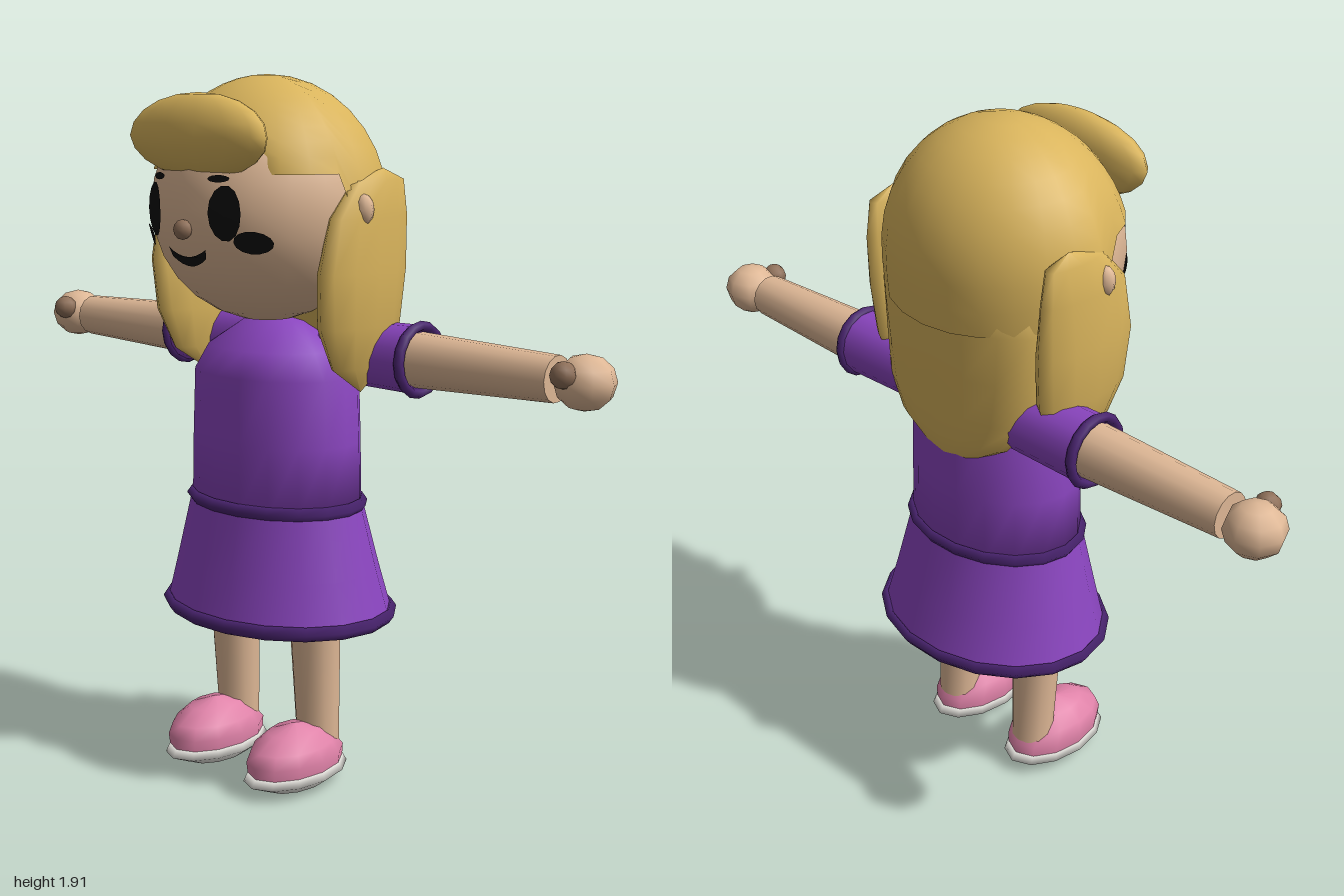
import * as THREE from 'three';
import { mergeVertices } from 'three/addons/utils/BufferGeometryUtils.js';

const mat = (name, color, side = THREE.FrontSide) => {
  const m = new THREE.MeshStandardMaterial({ color, side });
  m.name = name;
  return m;
};

// Smooth skin over elliptical rings [y, cx, cz, rx, rz], listed bottom to top
function loft(rings, segs = 14) {
  const pos = [], idx = [];
  rings.forEach(([y, cx, cz, rx, rz]) => {
    for (let j = 0; j < segs; j++) {
      const a = (j / segs) * Math.PI * 2;
      pos.push(cx + Math.cos(a) * rx, y, cz + Math.sin(a) * rz);
    }
  });
  for (let i = 0; i < rings.length - 1; i++) {
    for (let j = 0; j < segs; j++) {
      const k = (j + 1) % segs;
      const a = i * segs + j, b = i * segs + k, c = a + segs, d = b + segs;
      idx.push(a, c, b, b, c, d);
    }
  }
  const g = new THREE.BufferGeometry();
  g.setAttribute('position', new THREE.Float32BufferAttribute(pos, 3));
  g.setIndex(idx);
  g.computeVertexNormals();
  return g;
}

// Move every vertex by a rule and recompute smooth normals
function reshape(geo, rule) {
  geo.deleteAttribute('uv');
  geo.deleteAttribute('normal');
  const g = mergeVertices(geo, 1e-4);
  const p = g.attributes.position, v = new THREE.Vector3();
  for (let i = 0; i < p.count; i++) {
    v.fromBufferAttribute(p, i);
    rule(v);
    p.setXYZ(i, v.x, v.y, v.z);
  }
  g.computeVertexNormals();
  return g;
}

export function createModel() {
  const root = new THREE.Group();
  const skin = mat('skin', 0xdfb896);
  const shade = mat('darkSkin', 0x8f7059);
  const hair = mat('blondHair', 0xd9b45c, THREE.DoubleSide);
  const dress = mat('purpleDress', 0x8a45bf, THREE.DoubleSide);
  const trim = mat('darkPurpleTrim', 0x4a2470);
  const pink = mat('pinkShoe', 0xdf82a8);
  const white = mat('whiteSole', 0xeeece6);
  const black = mat('black', 0x0b0b0b, THREE.DoubleSide);

  const add = (name, geo, material, x = 0, y = 0, z = 0) => {
    const m = new THREE.Mesh(geo, material);
    m.name = name;
    m.position.set(x, y, z);
    root.add(m);
    return m;
  };
  const ball = (name, material, x, y, z, rx, ry, rz, w = 10, h = 8) =>
    add(name, new THREE.SphereGeometry(1, w, h), material, x, y, z).scale.set(rx, ry, rz);

  // Head
  const HY = 1.58, HR = 0.31;
  add('head', reshape(new THREE.SphereGeometry(HR, 20, 14), (v) => { if (v.z < 0) v.z *= 0.85; }), skin, 0, HY, 0);
  ball('nose', shade, 0, 1.53, 0.315, 0.026, 0.026, 0.022, 8, 6);

  // Painted face details wrapped onto the head
  const decal = (name, geo) => add(name, reshape(geo, (v) => {
    v.z = Math.sqrt(Math.max(0, HR * HR - v.x * v.x - (v.y - HY) ** 2)) + 0.013;
  }), black);
  const oval = (name, x, y, rx, ry) =>
    decal(name, new THREE.CircleGeometry(1, 14).scale(rx, ry, 1).translate(x, y, 0));
  for (const s of [1, -1]) {
    oval('eye', s * 0.125, 1.575, 0.04, 0.07);
    oval('cheek', s * 0.182, 1.503, 0.04, 0.029);
    oval('eyebrow', s * 0.105, 1.66, 0.028, 0.009);
  }
  const smile = new THREE.Shape();
  smile.moveTo(-0.066, 1.482);
  smile.quadraticCurveTo(0, 1.438, 0.066, 1.482);
  smile.lineTo(0.06, 1.458);
  smile.quadraticCurveTo(0, 1.412, -0.06, 1.458);
  decal('mouth', new THREE.ShapeGeometry(smile, 8));

  // Hair cap: dome whose hem is high over the face and low at the back
  add('hairCap', reshape(new THREE.SphereGeometry(1, 24, 10, 0, Math.PI * 2, 0, Math.PI / 2), (v) => {
    const t = Math.acos(Math.min(1, v.y)) / (Math.PI / 2);
    const a = Math.atan2(v.z, v.x);
    const edge = Math.sin(a) > 0.2 ? 1.67 : 1.5 - 0.05 * Math.max(0, -Math.sin(a));
    const th = t * Math.acos((edge - 1.57) / 0.345);
    const r = th > Math.PI / 2 ? 1 - 0.3 * (1 - Math.sin(th)) : Math.sin(th);
    v.set(0.335 * r * Math.cos(a), 1.57 + 0.345 * Math.cos(th), Math.min(0.22, 0.295 * r * Math.sin(a)));
  }), hair);

  // Rolled fringe, arched on top and flatter below
  add('fringe', reshape(new THREE.SphereGeometry(1, 14, 10), (v) => {
    v.set(v.x * 0.24, v.y * (v.y > 0 ? 0.11 : 0.105), v.z * 0.068 + v.y * 0.015 * (v.y < 0 ? 1 : -0.5));
  }), hair, 0, 1.76, 0.262);

  // Long hair down the back
  add('backHair', loft([
    [1.04, 0, -0.2, 0, 0], [1.05, 0, -0.2, 0.07, 0.025], [1.12, 0, -0.185, 0.19, 0.06],
    [1.2, 0, -0.165, 0.245, 0.09], [1.32, 0, -0.14, 0.27, 0.125],
    [1.46, 0, -0.125, 0.285, 0.152], [1.58, 0, -0.11, 0.27, 0.16], [1.6, 0, -0.11, 0, 0],
  ], 16), hair);

  // Torso, open skirt and trims
  add('torso', loft([
    [0.77, 0, -0.035, 0, 0], [0.77, 0, -0.035, 0.258, 0.2], [0.95, 0, -0.035, 0.254, 0.197],
    [1.13, 0, -0.035, 0.245, 0.195], [1.2, 0, -0.035, 0.2, 0.165],
    [1.27, 0, -0.035, 0.09, 0.08], [1.285, 0, -0.035, 0, 0],
  ], 18), dress);
  add('skirt', loft([
    [0.47, 0, -0.045, 0.34, 0.275], [0.6, 0, -0.04, 0.304, 0.245], [0.78, 0, -0.035, 0.26, 0.203],
  ], 18), dress);
  const band = (name, y, cz, rx, rz) => add(name, loft(
    [[-0.015, 0], [0, -0.02], [0.014, 0], [0, 0.02], [-0.015, 0]]
      .map(([r, dy]) => [y + dy, 0, cz, rx + r, rz + r]), 18), trim);
  band('waistband', 0.777, -0.035, 0.26, 0.203);
  band('skirtHem', 0.473, -0.045, 0.34, 0.277);

  for (const s of [1, -1]) {
    // Side locks and ears
    add('sideLock', loft([
      [1.1, 0.285, -0.05, 0, 0], [1.17, 0.29, -0.035, 0.035, 0.1], [1.28, 0.295, -0.03, 0.06, 0.15],
      [1.42, 0.303, -0.03, 0.058, 0.165], [1.56, 0.31, -0.045, 0.042, 0.15],
      [1.65, 0.31, -0.08, 0.03, 0.1], [1.68, 0.31, -0.1, 0, 0],
    ].map(([y, x, ...r]) => [y, s * x, ...r]), 12), hair);
    ball('ear', skin, s * 0.335, 1.58, 0.005, 0.028, 0.04, 0.025, 8, 6);

    // Arms stretched sideways
    const limb = (name, material, x0, x1, r0, r1) => {
      const m = add(name, new THREE.CylinderGeometry(r1, r0, x1 - x0, 14), material, s * (x0 + x1) / 2, 1.193, -0.118);
      m.rotation.z = -s * Math.PI / 2;
    };
    limb('sleeve', dress, 0.14, 0.425, 0.086, 0.09);
    limb('arm', skin, 0.4, 0.845, 0.074, 0.059);
    add('sleeveCuff', new THREE.TorusGeometry(0.088, 0.014, 6, 16), trim, s * 0.426, 1.193, -0.118).rotation.y = Math.PI / 2;
    ball('hand', skin, s * 0.921, 1.193, -0.123, 0.079, 0.07, 0.077, 8, 6);
    ball('thumb', shade, s * 0.902, 1.217, -0.055, 0.034, 0.034, 0.034, 8, 6);

    // Legs
    add('leg', loft([
      [0.1, s * 0.152, -0.042, 0.06, 0.058], [0.47, s * 0.152, -0.025, 0.074, 0.068],
      [0.53, s * 0.152, -0.025, 0.074, 0.068], [0.53, s * 0.152, -0.025, 0, 0],
    ], 12), skin);

    // Shoes
    add('shoe', loft([
      [0.05, s * 0.152, 0.05, 0.098, 0.16], [0.09, s * 0.152, 0.052, 0.104, 0.162],
      [0.125, s * 0.152, 0.06, 0.092, 0.138], [0.16, s * 0.152, 0.055, 0.06, 0.088],
      [0.178, s * 0.152, 0.055, 0, 0],
    ], 12), pink);
    add('sole', loft([
      [0, s * 0.152, 0.05, 0, 0], [0.008, s * 0.152, 0.05, 0.07, 0.11], [0.038, s * 0.152, 0.05, 0.108, 0.176],
      [0.06, s * 0.152, 0.05, 0.1, 0.162], [0.062, s * 0.152, 0.05, 0, 0],
    ], 12), white);
  }
  return root;
}
